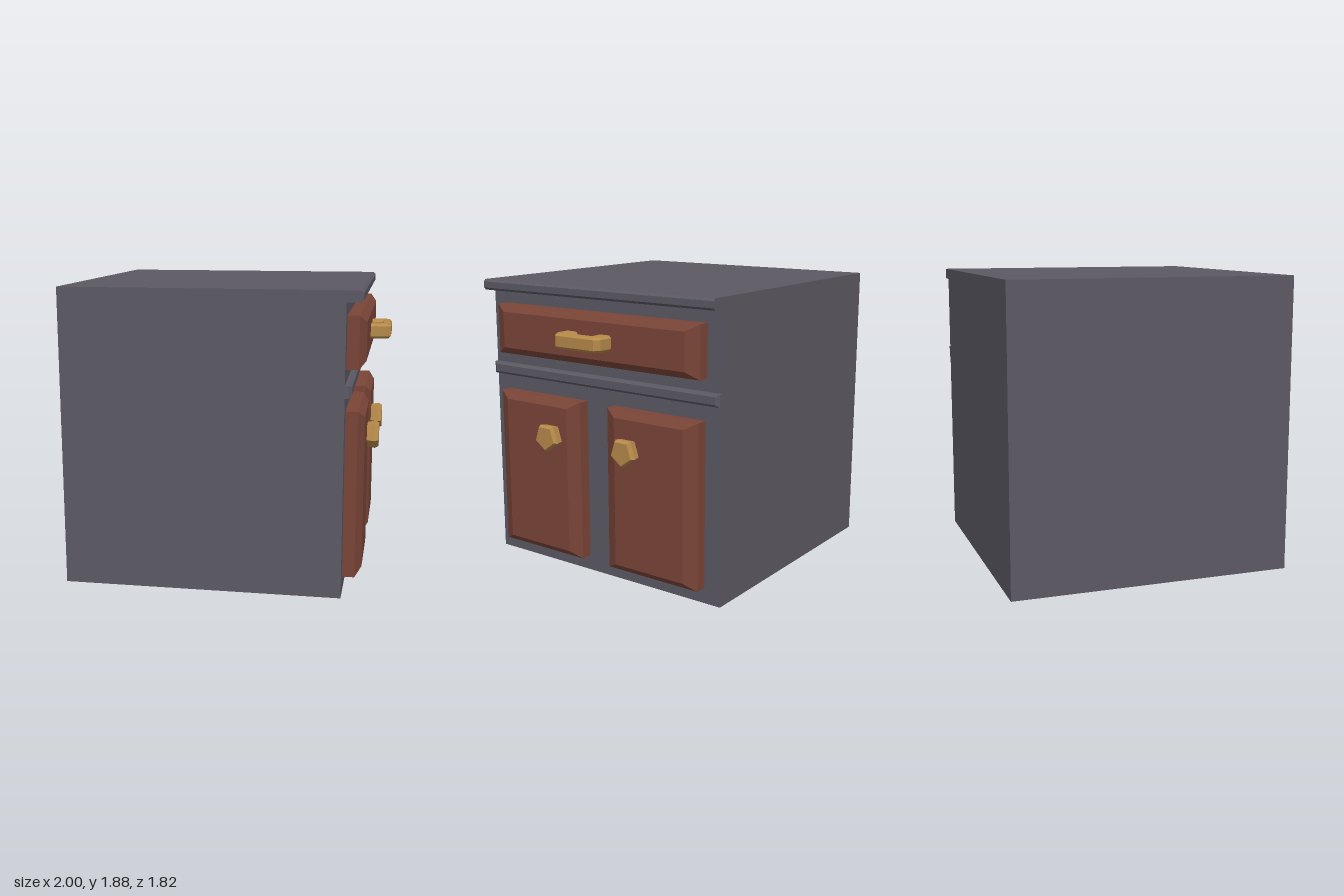
import * as THREE from 'three';

const flat = (name, color) => {
  const m = new THREE.MeshStandardMaterial({ color, flatShading: true });
  m.name = name;
  return m;
};

const polygon = (points) => new THREE.Shape(points.map(([x, y]) => new THREE.Vector2(x, y)));

// Raised panel facing +x: straight sides from x0 to x1, then a bevel in to x2
function raisedPanel(x0, x1, x2, y0, y1, z0, z1, insetY, insetZ) {
  const geo = new THREE.BoxGeometry(2, 2, 2, 2, 1, 1);
  const p = geo.attributes.position;
  for (let i = 0; i < p.count; i++) {
    const layer = Math.round(p.getX(i));
    const sy = p.getY(i), sz = p.getZ(i);
    const iy = layer === 1 ? insetY : 0, iz = layer === 1 ? insetZ : 0;
    p.setXYZ(i, [x0, x1, x2][layer + 1],
      sy > 0 ? y1 - iy : y0 + iy,
      sz > 0 ? z1 - iz : z0 + iz);
  }
  geo.computeVertexNormals();
  return geo;
}

export function createModel() {
  const group = new THREE.Group();
  const grey = flat('slate grey', 0x5c5963);
  const wood = flat('red brown wood', 0x7b4538);
  const brass = flat('brass', 0xb68a4a);
  const add = (name, geo, mat) => {
    const mesh = new THREE.Mesh(geo, mat);
    mesh.name = name;
    group.add(mesh);
    return mesh;
  };

  // Cabinet body with the overhanging chamfered top, as one side profile
  const profile = polygon([
    [-1, 0], [0.755, 0], [0.755, 1.815], [0.84, 1.815],
    [0.855, 1.83], [0.855, 1.87], [0.84, 1.885], [-1, 1.885],
  ]);
  const body = new THREE.ExtrudeGeometry(profile, { depth: 1.82, bevelEnabled: false });
  body.translate(0, 0, -0.91);
  add('cabinetBody', body, grey);

  // Rail between the drawer and the doors
  add('middleRail', raisedPanel(0.75, 0.78, 0.795, 1.248, 1.326, -0.91, 0.91, 0.015, 0.025), grey);

  // Drawer front
  add('drawerFront', raisedPanel(0.75, 0.83, 0.87, 1.405, 1.73, -0.805, 0.807, 0.045, 0.083), wood);

  // Square-cornered pull with chamfered edges
  const pull = polygon([
    [0.85, -0.182], [0.97, -0.182], [1, -0.15], [1, 0.15], [0.97, 0.182], [0.85, 0.182],
    [0.85, 0.083], [0.935, 0.083], [0.935, -0.083], [0.85, -0.083],
  ]);
  const pullGeo = new THREE.ExtrudeGeometry(pull, {
    depth: 0.065, bevelThickness: 0.015, bevelSize: 0.015, bevelOffset: -0.015, bevelSegments: 1,
  });
  pullGeo.rotateX(-Math.PI / 2).translate(0, 1.532, 0);
  add('drawerPull', pullGeo, brass);

  // Five-sided knob, point down
  const knobProfile = [[0.083, -0.01], [0.084, 0], [0.0945, 0.05], [0.08, 0.075], [0, 0.075]]
    .map(([r, h]) => new THREE.Vector2(r, h));
  const knobGeo = new THREE.LatheGeometry(knobProfile, 5, Math.PI / 2).rotateZ(-Math.PI / 2);

  // Pair of doors, each with its knob
  for (const [side, z0, z1, knobZ] of [['left', 0.115, 0.8, 0.32], ['right', -0.795, -0.11, -0.305]]) {
    add(side + 'Door', raisedPanel(0.75, 0.83, 0.87, 0.1, 1.15, z0, z1, 0.045, 0.083), wood);
    add(side + 'Knob', knobGeo, brass).position.set(0.87, 0.912, knobZ);
  }
  return group;
}
